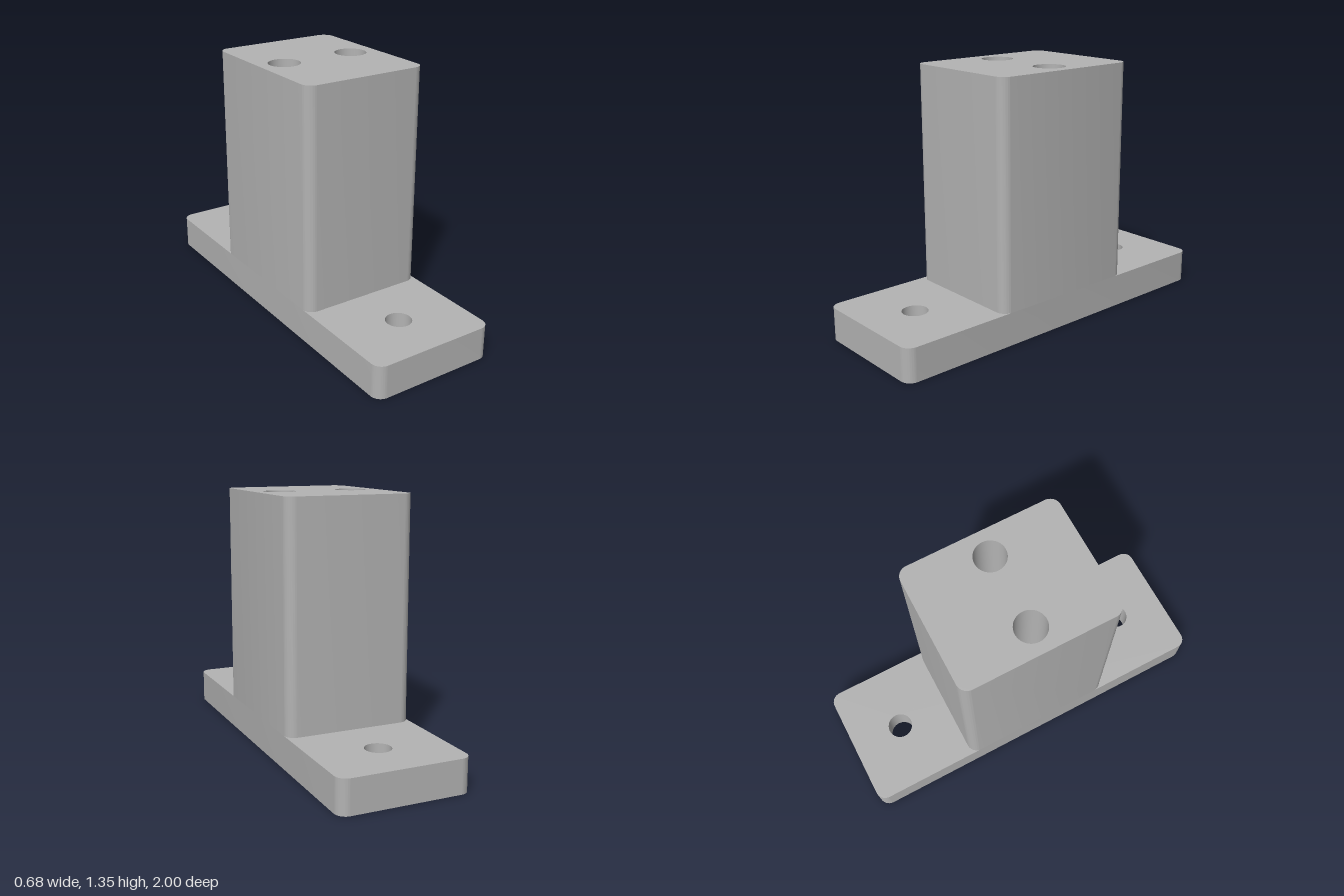
import * as THREE from 'three';
import { toCreasedNormals } from 'three/addons/utils/BufferGeometryUtils.js';

const WIDTH = 0.682, BASE_LENGTH = 2, BASE_HEIGHT = 0.175;
const POST_DEPTH = 0.852, TOP = 1.345, CORNER = 0.056;
const BOLT_Z = 0.715, BOLT_RADIUS = 0.067;
const SOCKET_X = 0.2, SOCKET_RADIUS = 0.083, SOCKET_DEPTH = 0.5;

// Rounded rectangle centred on the origin
function roundedRect(w, d, r) {
  const x = w / 2 - r, y = d / 2 - r;
  const s = new THREE.Shape();
  s.absarc(x, y, r, 0, Math.PI / 2);
  s.absarc(-x, y, r, Math.PI / 2, Math.PI);
  s.absarc(-x, -y, r, Math.PI, Math.PI * 1.5);
  s.absarc(x, -y, r, Math.PI * 1.5, Math.PI * 2);
  s.closePath();
  return s;
}

function addHole(shape, x, y, r) {
  const hole = new THREE.Path();
  hole.absarc(x, y, r, 0, Math.PI * 2, true);
  shape.holes.push(hole);
}

// Upright extrusion with smooth corners and sharp edges
function extrudeUp(shape, height, y) {
  const g = new THREE.ExtrudeGeometry(shape, { depth: height, bevelEnabled: false, curveSegments: 20 });
  g.rotateX(-Math.PI / 2).translate(0, y, 0);
  return toCreasedNormals(g, Math.PI / 6);
}

// Only the side walls of an extrusion, without its end caps
function wallsOnly(geometry) {
  const { start, count } = geometry.groups[1];
  const g = new THREE.BufferGeometry();
  for (const name of ['position', 'normal']) {
    const values = geometry.getAttribute(name).array.slice(start * 3, (start + count) * 3);
    g.setAttribute(name, new THREE.BufferAttribute(values, 3));
  }
  return g;
}

export function createModel() {
  const model = new THREE.Group();
  model.name = 'mountingBlock';
  const grey = new THREE.MeshStandardMaterial({ color: 0xb3b3b3 });
  grey.name = 'plain grey';
  const innerGrey = grey.clone();
  innerGrey.side = THREE.BackSide;

  const add = (parent, name, geometry, material = grey) => {
    const mesh = new THREE.Mesh(geometry, material);
    mesh.name = name;
    parent.add(mesh);
    return mesh;
  };

  // Base plate with a bolt hole through each end
  const base = roundedRect(WIDTH, BASE_LENGTH, CORNER);
  for (const side of [-1, 1]) addHole(base, 0, side * BOLT_Z, BOLT_RADIUS);
  add(model, 'basePlate', extrudeUp(base, BASE_HEIGHT, 0));

  // Upright post: walls and a top face pierced by two sockets
  const post = new THREE.Group();
  post.name = 'post';
  model.add(post);
  const outline = roundedRect(WIDTH, POST_DEPTH, CORNER);
  add(post, 'postWalls', wallsOnly(extrudeUp(outline, TOP - BASE_HEIGHT, BASE_HEIGHT)));
  for (const side of [-1, 1]) addHole(outline, side * SOCKET_X, 0, SOCKET_RADIUS);
  add(post, 'postTop', new THREE.ShapeGeometry(outline, 20).rotateX(-Math.PI / 2).translate(0, TOP, 0));

  // Blind sockets sunk into the post
  for (const side of [-1, 1]) {
    const wall = new THREE.CylinderGeometry(SOCKET_RADIUS, SOCKET_RADIUS, SOCKET_DEPTH, 40, 1, true);
    add(post, 'socketWall', wall, innerGrey).position.set(side * SOCKET_X, TOP - SOCKET_DEPTH / 2, 0);
    const floor = new THREE.CircleGeometry(SOCKET_RADIUS, 40).rotateX(-Math.PI / 2);
    add(post, 'socketFloor', floor).position.set(side * SOCKET_X, TOP - SOCKET_DEPTH, 0);
  }
  return model;
}
